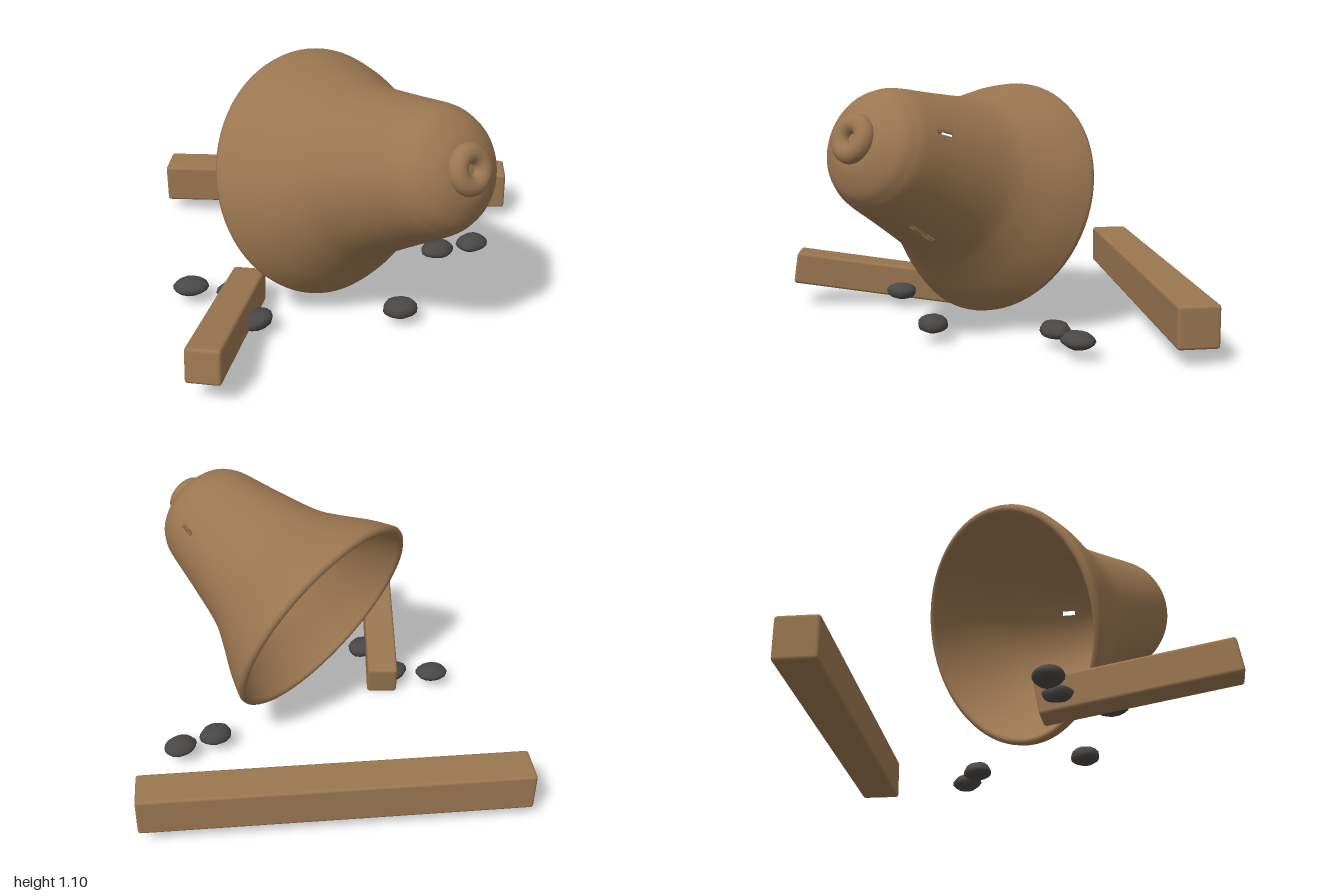
import * as THREE from 'three';
import { mergeVertices } from 'three/addons/utils/BufferGeometryUtils.js';
import { RoundedBoxGeometry } from 'three/addons/geometries/RoundedBoxGeometry.js';

const SEGMENTS = 72;
const STEPS = 48;

// Bell wall: lathe with an inner and outer skin, cut through by narrow slits
function bellGeometry(slits) {
  const outer = new THREE.SplineCurve([
    [0.54, 0.02], [0.495, 0.12], [0.41, 0.27], [0.36, 0.38], [0.305, 0.6], [0.265, 0.78],
    [0.24, 0.84], [0.205, 0.885], [0.13, 0.93], [0.06, 0.945], [0, 0.95],
  ].map(([r, y]) => new THREE.Vector2(r, y))).getPoints(STEPS);
  outer[STEPS].x = 0;
  const inner = outer.map((p) => new THREE.Vector2(p.x * 0.93, 0.02 + (p.y - 0.02) * 0.965));
  const lip = [[0.504, 0.006], [0.512, -0.003], [0.525, -0.004], [0.537, 0.006]]
    .map(([r, y]) => new THREE.Vector2(r, y));
  const profile = [...inner.slice().reverse(), ...lip, ...outer];
  const count = profile.length;
  const outerStart = STEPS + 1 + lip.length;

  const geometry = new THREE.LatheGeometry(profile, SEGMENTS);
  const source = Array.from(geometry.index.array);
  const removed = new Set();
  const walls = [];
  for (const { angle, from, to } of slits) {
    const turn = (angle / (Math.PI * 2) + 1) % 1;
    const col = Math.floor(turn * SEGMENTS);
    const o = (k, c) => c * count + outerStart + k;
    const n = (k, c) => c * count + STEPS - k;
    const quad = (a, b, c, d) => walls.push(a, b, c, a, c, d);
    const rows = [];
    for (let k = 0; k < STEPS; k++) {
      const mid = (outer[k].y + outer[k + 1].y) / 2;
      if (mid > from && mid < to) rows.push(k);
    }
    for (const k of rows) {
      removed.add(col * (count - 1) + outerStart + k);
      removed.add(col * (count - 1) + STEPS - k - 1);
      for (const c of [col, col + 1]) quad(o(k, c), o(k + 1, c), n(k + 1, c), n(k, c));
    }
    for (const k of [rows[0], rows[rows.length - 1] + 1]) {
      quad(o(k, col), o(k, col + 1), n(k, col + 1), n(k, col));
    }
  }
  const kept = source.filter((_, i) => !removed.has(Math.floor(i / 6)));
  geometry.setIndex(kept.concat(walls));
  return geometry;
}

// Flattened, slightly lumpy pebble
function rockGeometry(seed) {
  let geometry = new THREE.IcosahedronGeometry(1, 2);
  geometry.deleteAttribute('normal');
  geometry.deleteAttribute('uv');
  geometry = mergeVertices(geometry);
  const pos = geometry.attributes.position;
  const v = new THREE.Vector3();
  for (let i = 0; i < pos.count; i++) {
    v.fromBufferAttribute(pos, i);
    const lump = Math.sin(v.x * 4 + seed) * Math.cos(v.z * 5 + seed * 2) + Math.sin(v.y * 6 + seed * 3);
    v.multiplyScalar(1 + 0.04 * lump);
    pos.setXYZ(i, v.x * 0.078, v.y * 0.039, v.z * 0.064);
  }
  geometry.computeVertexNormals();
  return geometry;
}

export function createModel() {
  const model = new THREE.Group();
  const bronze = new THREE.MeshStandardMaterial({ color: 0x9a7650, side: THREE.DoubleSide });
  bronze.name = 'warmBrown';
  const stone = new THREE.MeshStandardMaterial({ color: 0x4a4846 });
  stone.name = 'darkStone';

  const add = (parent, name, geometry, material) => {
    const mesh = new THREE.Mesh(geometry, material);
    mesh.name = name;
    parent.add(mesh);
    return mesh;
  };

  // Fallen bell, lying with its crown forward and up
  const bell = new THREE.Group();
  bell.name = 'bell';
  bell.position.set(-0.17, 0.58, 0.085);
  const axis = new THREE.Vector3(0.305, 0.358, 0.883).normalize();
  bell.quaternion.setFromUnitVectors(new THREE.Vector3(0, 1, 0), axis);
  model.add(bell);

  const toLocal = bell.quaternion.clone().invert();
  const slit = (x, y, z, from, to) => {
    const d = new THREE.Vector3(x, y, z).applyQuaternion(toLocal);
    return { angle: Math.atan2(d.x, d.z), from, to };
  };
  add(bell, 'bellBody', bellGeometry([
    slit(0.46, -0.86, 0.19, 0.52, 0.64),
    slit(0.83, 0.36, -0.43, 0.68, 0.76),
  ]), bronze);

  // Ring on the crown
  const ring = add(bell, 'crownRing', new THREE.TorusGeometry(0.062, 0.042, 16, 40), bronze);
  ring.rotation.x = Math.PI / 2;
  ring.position.y = 0.945;

  // Broken beams
  const beam = (name, size, position, yaw, pitch) => {
    const mesh = add(model, name, new RoundedBoxGeometry(...size, 2, 0.014), bronze);
    mesh.position.set(...position);
    mesh.rotation.set(0, yaw, pitch, 'YXZ');
  };
  beam('longBeam', [1.73, 0.185, 0.18], [0.155, 0.168, -0.555], -0.435, 0);
  beam('shortBeam', [0.81, 0.152, 0.148], [-0.715, 0.137, 0.43], 1.043, -0.148);

  // Scattered rocks
  [[-0.77, 0.02], [-0.6, 0.13], [-0.58, 0.38], [0.03, 0.53], [0.4, 0.14], [0.58, 0.15]]
    .forEach(([x, z], i) => {
      const rock = add(model, 'rock' + (i + 1), rockGeometry(i * 1.7 + 0.5), stone);
      rock.position.set(x, 0.083, z);
      rock.rotation.y = (i % 3 - 1) * 0.25;
    });

  return model;
}
